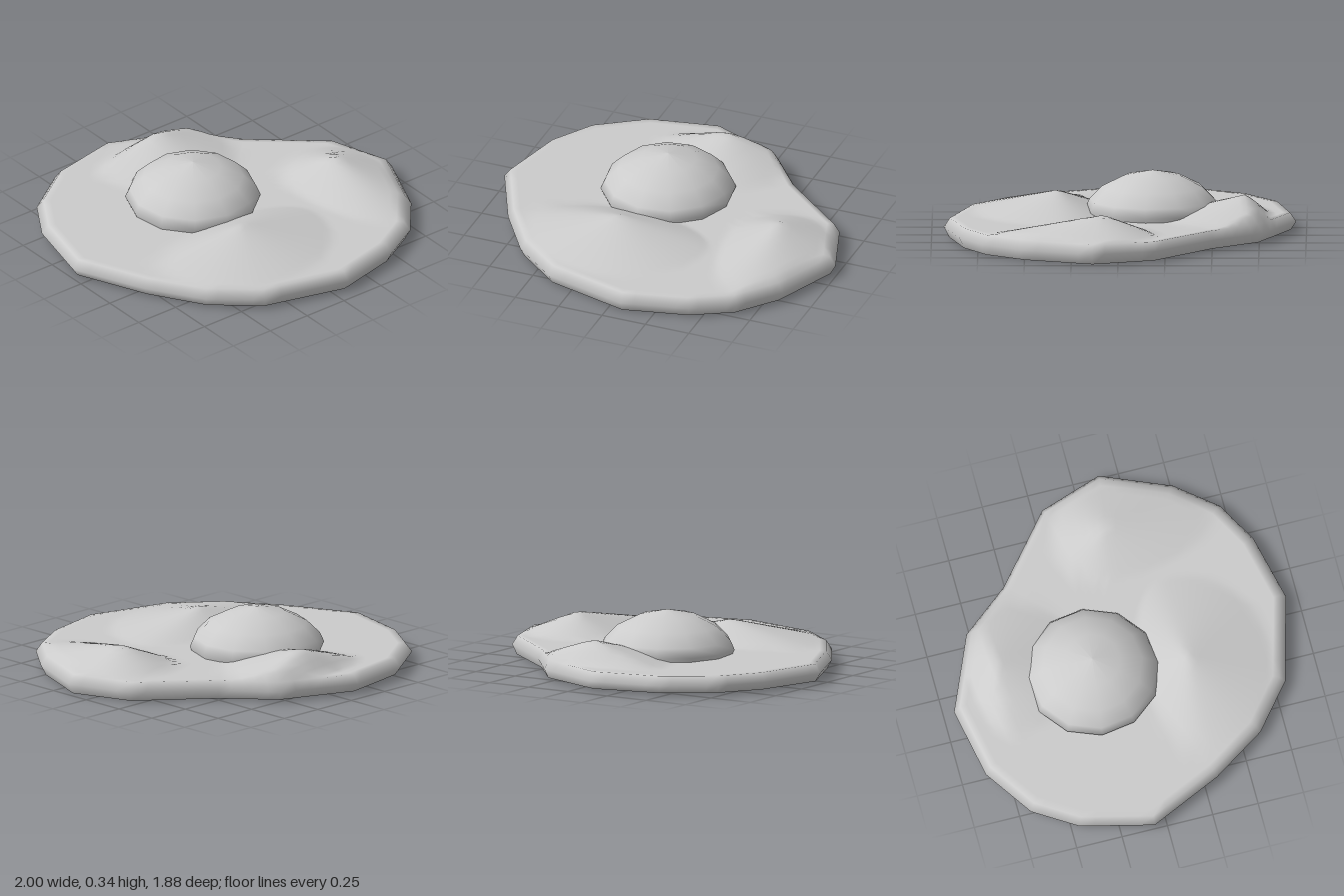
import * as THREE from 'three';

// Corners of the egg white's outline as [x, z]
const OUTLINE = [
  [-0.11, -0.945], [0.3, -0.77], [0.51, -0.51], [0.88, -0.2],
  [0.995, 0.14], [0.84, 0.51], [0.665, 0.725], [0.44, 0.85],
  [0.08, 0.935], [-0.385, 0.81], [-0.63, 0.61], [-0.82, 0.32],
  [-1, -0.07], [-0.905, -0.46], [-0.76, -0.69], [-0.495, -0.87],
];

// Raised bumps: peak x, z, height, then reach towards -x, +x, -z, +z
const BUMPS = [
  [-0.17, 0.33, 0.112, 0.53, 0.5, 0.25, 0.45],
  [0.65, 0.08, 0.112, 0.28, 0.28, 0.28, 0.6],
  [0.05, -0.68, 0.125, 0.4, 0.38, 0.13, 0.48],
];

const RIM_Y = 0.108;

function topHeight(x, z) {
  let lift = 0;
  for (const [px, pz, h, left, right, back, front] of BUMPS) {
    const dx = (x - px) / (x < px ? left : right);
    const dz = (z - pz) / (z < pz ? back : front);
    lift = Math.max(lift, h * (1 - Math.hypot(dx, dz)));
  }
  return RIM_Y + lift;
}

const bottomHeight = (x, z) => 0.01 - 0.005 * x - 0.006 * z;

function eggWhiteGeometry() {
  // Split each straight outline edge so the bumps have enough points
  const SPLIT = 5;
  const loop = OUTLINE.flatMap(([x, z], i) => {
    const [nx, nz] = OUTLINE[(i + 1) % OUTLINE.length];
    return Array.from({ length: SPLIT }, (_, k) => [
      x + ((nx - x) * k) / SPLIT, z + ((nz - z) * k) / SPLIT]);
  });

  // Rings from the underside centre, around the rim, to the top centre
  const rings = [
    [0, bottomHeight], [0.97, bottomHeight],
    [0.97, bottomHeight], [1, () => 0.06], [0.965, () => RIM_Y],
  ];
  const TOP_RINGS = 24;
  for (let k = 1; k <= TOP_RINGS; k++) rings.push([0.965 * (1 - k / TOP_RINGS), topHeight]);

  const n = loop.length;
  const positions = [];
  const index = [];
  rings.forEach(([s, height], r) => {
    loop.forEach(([x, z], i) => {
      positions.push(x * s, height(x * s, z * s), z * s);
      // No faces between the doubled rings: this keeps the lower edge sharp
      if (r === rings.length - 1 || r === 1) return;
      const a = r * n + i, b = r * n + ((i + 1) % n);
      index.push(a, a + n, b, b, a + n, b + n);
    });
  });

  const geometry = new THREE.BufferGeometry();
  geometry.setAttribute('position', new THREE.Float32BufferAttribute(positions, 3));
  geometry.setIndex(index);
  geometry.computeVertexNormals();
  return geometry;
}

function yolkGeometry() {
  const profile = [
    [0.33, 0.06], [0.362, 0.13], [0.34, 0.18], [0.27, 0.25], [0.15, 0.31], [0, 0.34],
  ].map(([r, y]) => new THREE.Vector2(r, y));
  return new THREE.LatheGeometry(profile, 12);
}

export function createModel() {
  const group = new THREE.Group();
  group.name = 'friedEgg';
  const material = new THREE.MeshStandardMaterial({ color: 0xcccccc });

  // Flat, wavy white
  const white = new THREE.Mesh(eggWhiteGeometry(), material);
  white.name = 'eggWhite';

  // Domed yolk, set back from the middle
  const yolk = new THREE.Mesh(yolkGeometry(), material);
  yolk.name = 'yolk';
  yolk.position.set(-0.1, 0, -0.18);
  yolk.rotation.y = -0.11;

  group.add(white, yolk);
  return group;
}
